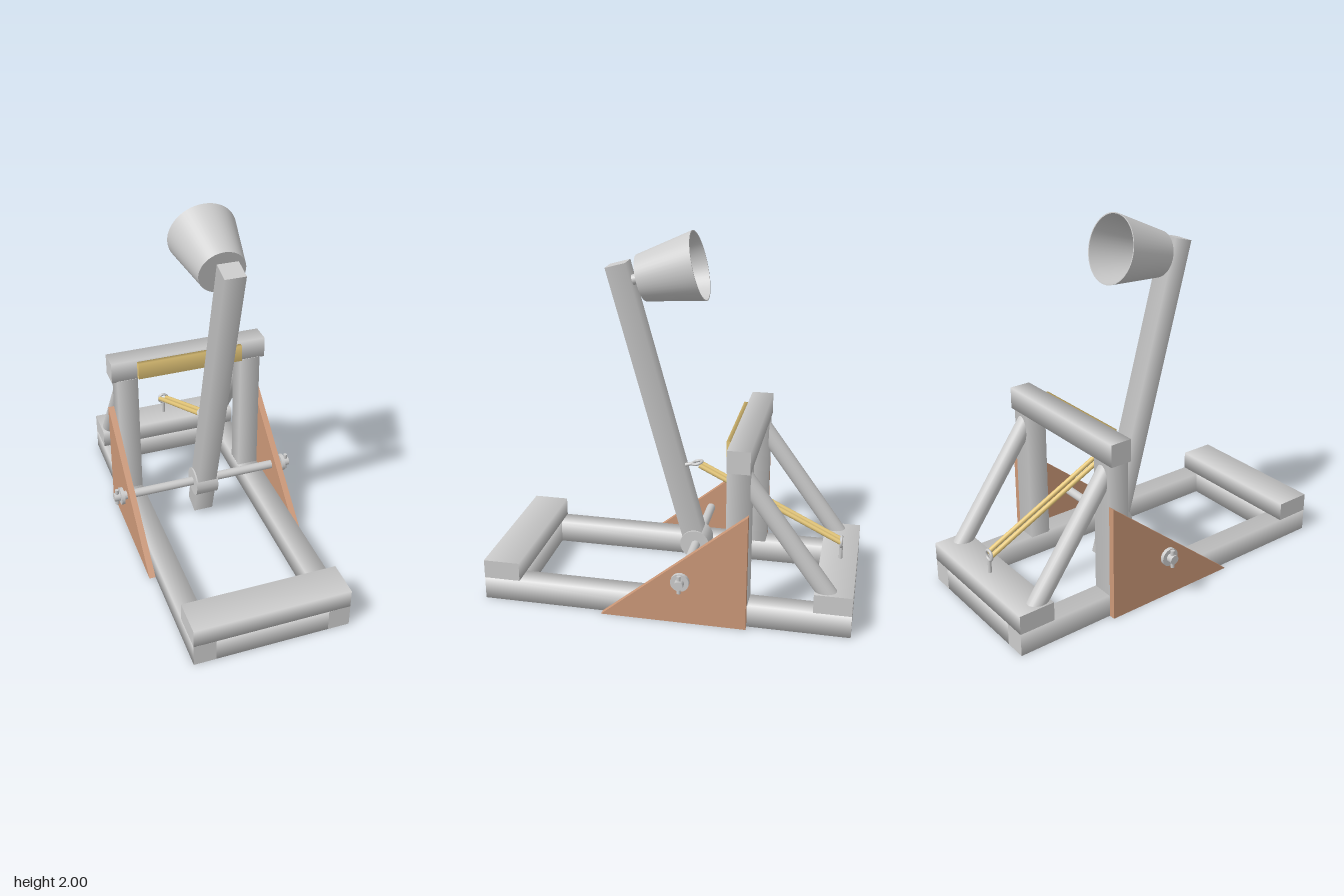
import * as THREE from 'three';
import { toCreasedNormals } from 'three/addons/utils/BufferGeometryUtils.js';

const Y = new THREE.Vector3(0, 1, 0);
const V = (x, y, z) => new THREE.Vector3(x, y, z);

export function createModel() {
  const model = new THREE.Group();
  const grey = new THREE.MeshStandardMaterial({ color: 0xcccccc });
  const greyThin = new THREE.MeshStandardMaterial({ color: 0xcccccc, side: THREE.DoubleSide });
  const brown = new THREE.MeshStandardMaterial({ color: 0xcc9878 });
  const yellow = new THREE.MeshStandardMaterial({ color: 0xe6c87a });

  const add = (name, geometry, material = grey) => {
    const mesh = new THREE.Mesh(geometry, material);
    mesh.name = name;
    model.add(mesh);
    return mesh;
  };
  // Stand a y-aligned unit-height geometry between two points
  const span = (name, geometry, a, b, material) => {
    const dir = b.clone().sub(a);
    geometry.scale(1, dir.length(), 1);
    const mesh = add(name, geometry, material);
    mesh.position.copy(a).add(b).multiplyScalar(0.5);
    mesh.quaternion.setFromUnitVectors(Y, dir.normalize());
    return mesh;
  };
  const rod = (name, a, b, r, material) =>
    span(name, new THREE.CylinderGeometry(r, r, 1, 24), a, b, material);
  // Square timber with softly shaded long edges (w: local x, d: local z)
  const beam = (name, a, b, w, d, material) => {
    const g = new THREE.CylinderGeometry(Math.SQRT1_2, Math.SQRT1_2, 1, 4, 1, false, Math.PI / 4);
    return span(name, g.scale(w, 1, d), a, b, material);
  };

  // Base frame: cross beams at both ends, stacked on and between the rails
  for (const [end, z] of [['front', 0.9], ['back', -0.9]]) {
    beam(end + 'UpperCrossBeam', V(-0.43, 0.178, z), V(0.43, 0.178, z), 0.105, 0.2);
    beam(end + 'LowerCrossBeam', V(-0.31, 0.063, z), V(0.31, 0.063, z), 0.125, 0.2);
  }

  // Triangular side plate outline, drawn with shape x = -z
  const plate = new THREE.Shape([[-0.33, 0], [0.455, 0], [0.455, 0.65]].map(p => new THREE.Vector2(...p)));

  for (const [side, s] of [['left', 1], ['right', -1]]) {
    const x = 0.37 * s;
    beam(side + 'Rail', V(x, 0.0625, -1), V(x, 0.0625, 1), 0.12, 0.125);
    beam(side + 'Post', V(x, 0.12, -0.397), V(x, 0.885, -0.397), 0.12, 0.12);
    rod(side + 'Brace', V(x, 0.196, -0.88), V(x, 0.87, -0.39), 0.049);

    const g = new THREE.ExtrudeGeometry(plate, { depth: 0.035, bevelEnabled: false });
    g.rotateY(Math.PI / 2);
    add(side + 'SidePlate', g, brown).position.x = s > 0 ? 0.43 : -0.465;

    // Axle fastening
    rod(side + 'Washer', V(0.485 * s, 0.26, -0.11), V(0.505 * s, 0.26, -0.11), 0.05);
    rod(side + 'AxlePin', V(0.522 * s, 0.21, -0.11), V(0.522 * s, 0.31, -0.11), 0.011);
  }

  // Stop beam and its pad
  beam('stopBeam', V(-0.46, 0.942, -0.4), V(0.46, 0.942, -0.4), 0.122, 0.12);
  beam('stopPad', V(-0.31, 0.942, -0.327), V(0.31, 0.942, -0.327), 0.1, 0.026, yellow);

  // Axle, hub and throwing arm
  rod('axle', V(-0.54, 0.26, -0.11), V(0.54, 0.26, -0.11), 0.025);
  rod('armHub', V(-0.065, 0.26, -0.105), V(0.065, 0.26, -0.105), 0.082);
  beam('throwingArm', V(0, 0.05, -0.161), V(0, 1.815, 0.325), 0.112, 0.114);

  // Cup, open towards the back, on a short stem
  const profile = [[0, 0], [0.124, 0], [0.184, 0.317], [0.178, 0.317], [0.118, 0.008], [0, 0.008]]
    .map(p => new THREE.Vector2(...p));
  const cup = add('cup', toCreasedNormals(new THREE.LatheGeometry(profile, 48), 0.6), greyThin);
  const cupAxis = V(0, 0.077, -0.307).normalize();
  cup.position.set(0, 1.745, 0.195);
  cup.quaternion.setFromUnitVectors(Y, cupAxis);
  rod('cupStem', V(0, 1.723, 0.28), V(0, 1.748, 0.185), 0.028);

  // Eye bolts: a ring on a shank, standing along a direction
  const eyeBolt = (name, foot, ringCentre) => {
    const dir = ringCentre.clone().sub(foot).normalize();
    const ring = add(name + 'Ring', new THREE.TorusGeometry(0.028, 0.008, 10, 28));
    ring.position.copy(ringCentre);
    ring.quaternion.setFromUnitVectors(Y, dir);
    rod(name + 'Shank', foot, ringCentre.clone().addScaledVector(dir, -0.026), 0.01);
  };
  const armEye = V(0, 0.73, -0.105), baseEye = V(0, 0.332, -0.91);
  eyeBolt('armEye', V(0, 0.706, -0.02), armEye);
  eyeBolt('baseEye', V(0, 0.22, -0.91), baseEye);

  // Twin pull cords and the turns joining them inside the rings
  for (const x of [-0.021, 0.021]) {
    rod(x > 0 ? 'leftCord' : 'rightCord', V(x, 0.722, -0.12), V(x, 0.336, -0.905), 0.013, yellow);
  }
  return model;
}
